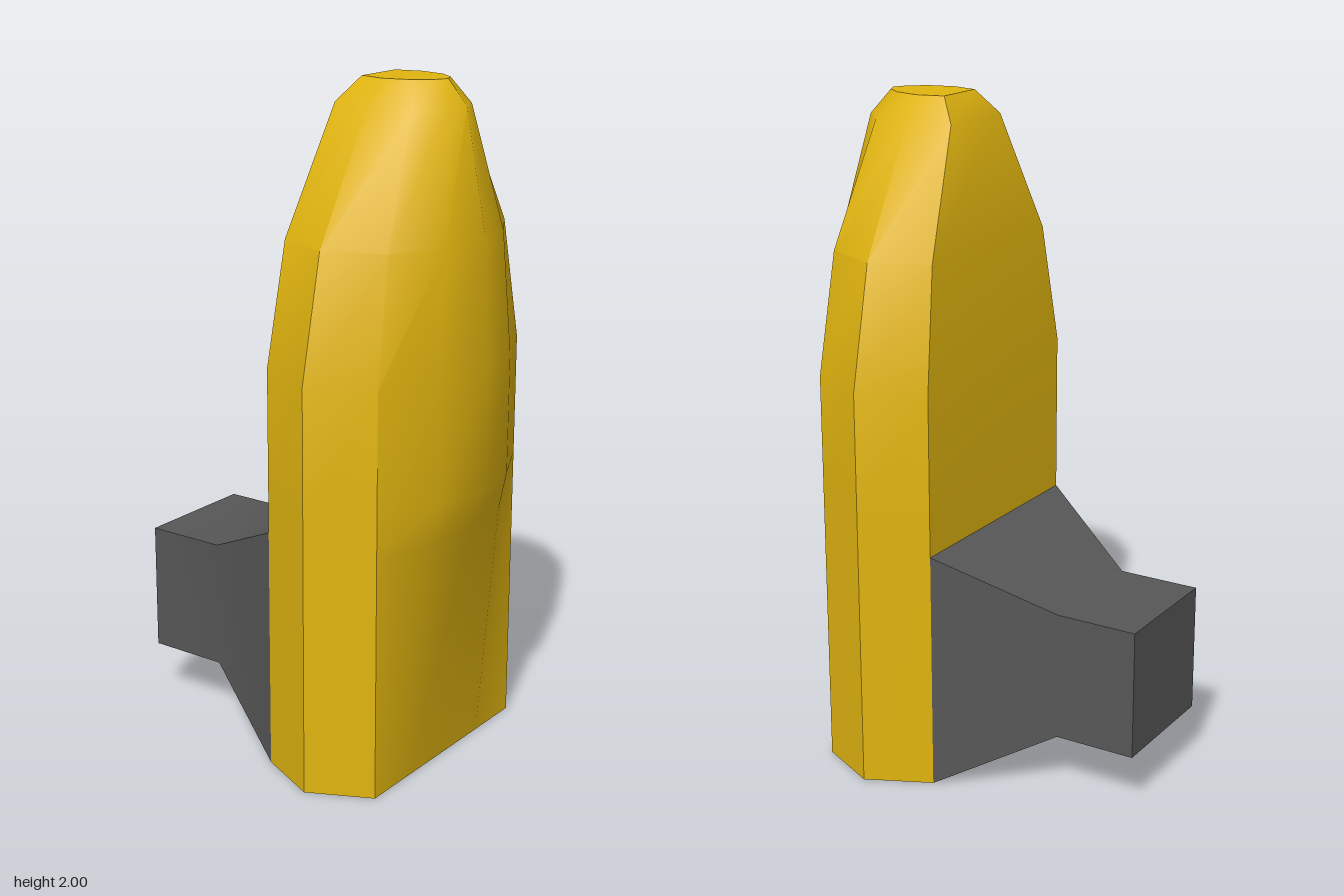
import * as THREE from 'three';
import { toCreasedNormals } from 'three/addons/utils/BufferGeometryUtils.js';

// Skins a stack of equal-sized rings and caps both ends.
function loft(rings, crease) {
  const n = rings[0].length;
  const last = (rings.length - 1) * n;
  const index = [];
  for (let i = 0; i < rings.length - 1; i++) {
    for (let j = 0; j < n; j++) {
      const a = i * n + j;
      const b = i * n + ((j + 1) % n);
      index.push(a, b, b + n, a, b + n, a + n);
    }
  }
  for (let j = 1; j < n - 1; j++) {
    index.push(0, j + 1, j);
    index.push(last, last + j, last + j + 1);
  }
  const geometry = new THREE.BufferGeometry();
  geometry.setAttribute('position', new THREE.Float32BufferAttribute(rings.flat(2), 3));
  geometry.setIndex(index);
  return toCreasedNormals(geometry, crease);
}

// Horizontal body section: half outline from back edge to nose, mirrored in z.
function bodyRing(y, half) {
  const front = half.map(([x, z]) => [x, y, z]);
  const back = half.slice(0, -1).reverse().map(([x, z]) => [x, y, -z]);
  return [...front, ...back];
}

// Rectangular section across the x axis.
const mountRing = (x, low, high, z) => [[x, low, z], [x, high, z], [x, high, -z], [x, low, -z]];

export function createModel() {
  const yellow = new THREE.MeshStandardMaterial({ color: 0xe0b40f });
  yellow.name = 'yellow';
  const darkGrey = new THREE.MeshStandardMaterial({ color: 0x575757 });
  darkGrey.name = 'dark grey';

  const model = new THREE.Group();
  model.name = 'model';

  // Tall shell with a bulging face and tapered crown
  const rings = [
    bodyRing(0, [[0.04, 0.36], [0.23, 0.45], [0.415, 0.36], [0.415, 0.18], [0.415, 0]]),
    bodyRing(0.73, [[0.04, 0.36], [0.23, 0.45], [0.415, 0.36], [0.475, 0.18], [0.49, 0]]),
    bodyRing(0.85, [[0.04, 0.36], [0.23, 0.45], [0.415, 0.36], [0.5, 0.18], [0.535, 0]]),
    bodyRing(1.21, [[0.04, 0.36], [0.23, 0.45], [0.415, 0.36], [0.5, 0.18], [0.535, 0]]),
    bodyRing(1.57, [[0.06, 0.3], [0.23, 0.37], [0.4, 0.295], [0.485, 0.15], [0.52, 0]]),
    bodyRing(1.93, [[0.105, 0.13], [0.235, 0.16], [0.36, 0.13], [0.425, 0.065], [0.45, 0]]),
    bodyRing(2, [[0.16, 0.08], [0.24, 0.1], [0.32, 0.08], [0.37, 0.04], [0.39, 0]]),
  ];
  const body = new THREE.Mesh(loft(rings, 0.64), yellow);
  body.name = 'body';

  // Flared mount joining the back of the shell to a square stub
  const mount = new THREE.Mesh(loft([
    mountRing(0.04, 0, 0.725, 0.36),
    mountRing(-0.29, 0.17, 0.56, 0.195),
    mountRing(-0.54, 0.17, 0.56, 0.195),
  ], 0.64), darkGrey);
  mount.name = 'mount';

  model.add(body, mount);
  return model;
}
